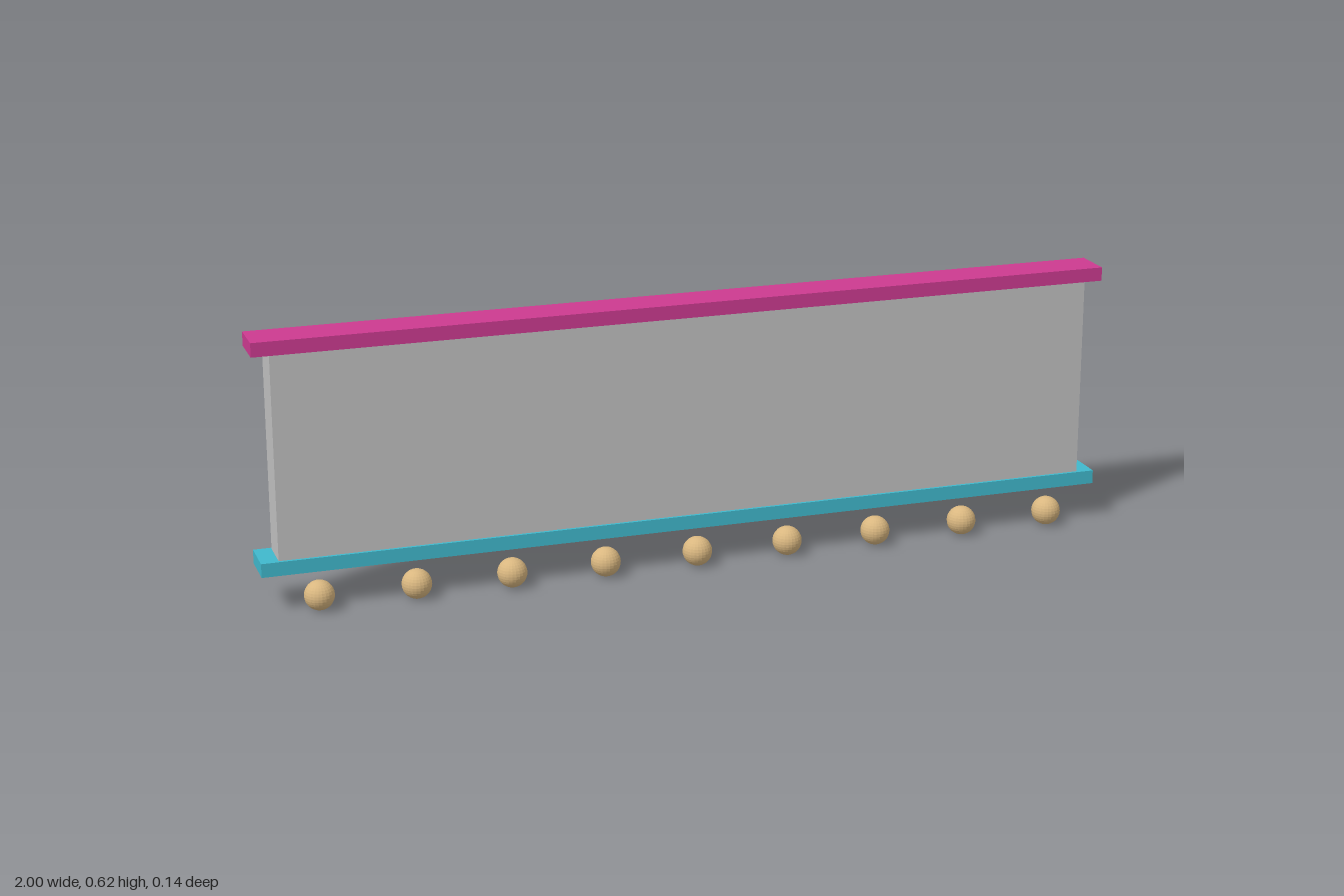
import * as THREE from 'three';

export function createModel() {
  const model = new THREE.Group();
  const magenta = new THREE.MeshStandardMaterial({ name: 'magenta', color: 0xcc3a90 });
  const cyan = new THREE.MeshStandardMaterial({ name: 'cyan', color: 0x40b8cc });
  const grey = new THREE.MeshStandardMaterial({ name: 'grey', color: 0xc0c0c0 });
  const tan = new THREE.MeshStandardMaterial({ name: 'tan', color: 0xd9b780, flatShading: true });

  const Z = -0.02; // beam centre line, set back from the balls

  function box(name, material, width, y0, y1, depth) {
    const mesh = new THREE.Mesh(new THREE.BoxGeometry(width, y1 - y0, depth), material);
    mesh.name = name;
    mesh.position.set(0, (y0 + y1) / 2, Z);
    model.add(mesh);
  }

  // Upright panel between two overhanging rails
  box('panel', grey, 1.92, 0.118, 0.586, 0.083);
  box('topRail', magenta, 2, 0.586, 0.618, 0.097);
  box('bottomRail', cyan, 2, 0.086, 0.118, 0.097);

  // Row of balls hanging below the front edge
  const radius = 0.034;
  const ball = new THREE.SphereGeometry(radius, 24, 16);
  const balls = new THREE.Group();
  balls.name = 'balls';
  for (let i = -4; i <= 4; i++) {
    const mesh = new THREE.Mesh(ball, tan);
    mesh.name = 'ball';
    mesh.position.set(i * 0.219, radius, 0.035);
    balls.add(mesh);
  }
  model.add(balls);

  return model;
}
